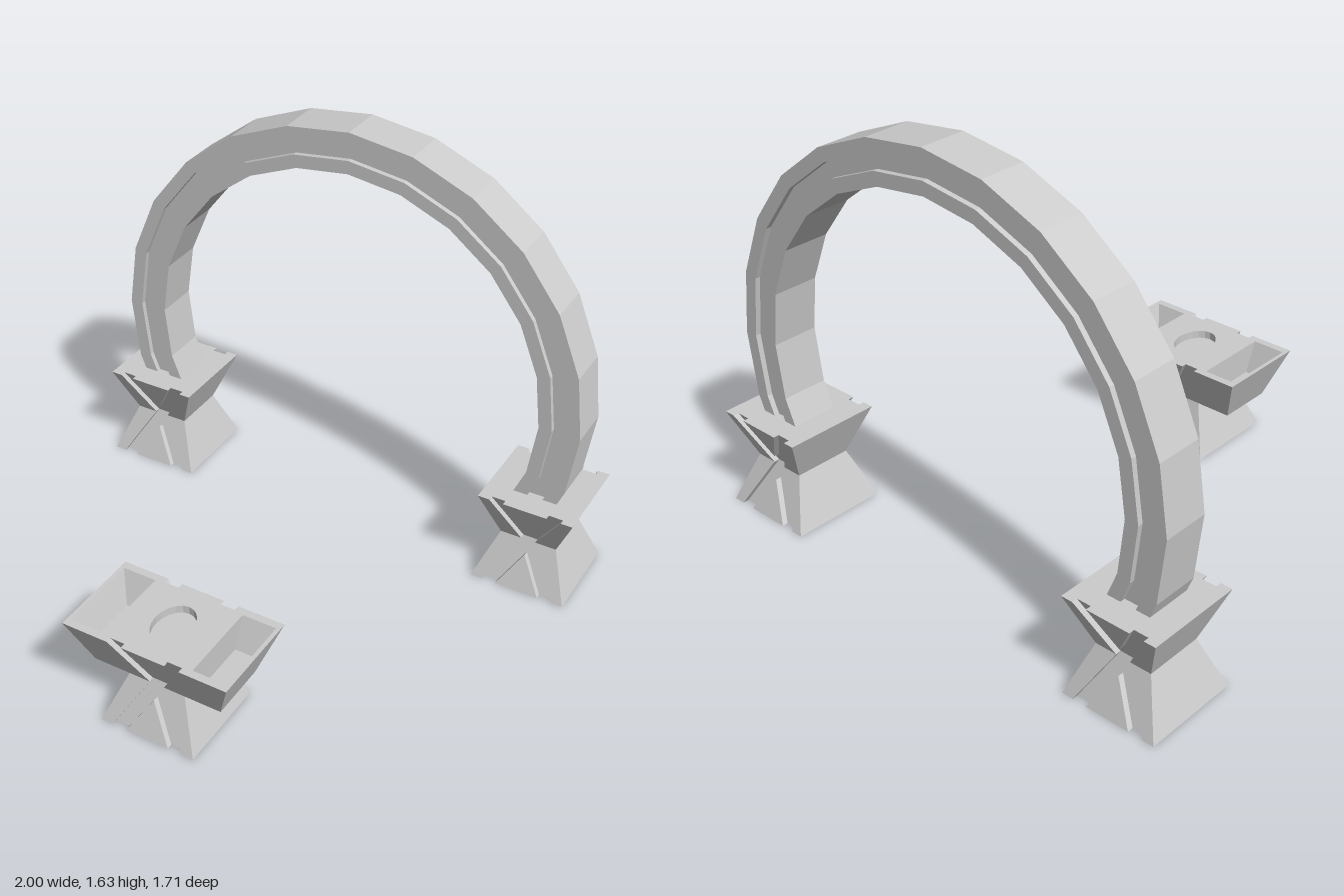
import * as THREE from 'three';

const WAIST = 0.19, TOP = 0.375;   // heights of the hourglass plinth
const GROOVE = 0.022;              // depth of the crossing grooves

const material = new THREE.MeshStandardMaterial({ color: 0xcccccc, flatShading: true });

function addMesh(parent, name, geometry) {
  const mesh = new THREE.Mesh(geometry, material);
  mesh.name = name;
  parent.add(mesh);
  return mesh;
}

// Half depth of the plinth at a height
function halfDepth(y) {
  return y < WAIST
    ? THREE.MathUtils.mapLinear(y, 0, WAIST, 0.185, 0.11)
    : THREE.MathUtils.mapLinear(y, WAIST, TOP, 0.11, 0.185);
}

// Horizontal rings, counter-clockwise from above
const rectRing = (y, hx, hz, cx = 0) =>
  [[-1, 1], [1, 1], [1, -1], [-1, -1]].map(([sx, sz]) => [cx + sx * hx, y, sz * hz]);

const ovalRing = (y, rx, rz, sides = 20) => Array.from({ length: sides }, (_, i) => {
  const t = (i / sides) * Math.PI * 2;
  return [rx * Math.cos(t), y, -rz * Math.sin(t)];
});

// Skin over rings: rising rings face outward, falling rings make a recess
function loft(rings, capStart, capEnd) {
  const pos = [];
  const tri = (a, b, c) => pos.push(...a, ...b, ...c);
  const n = rings[0].length;
  for (let k = 0; k < rings.length - 1; k++) {
    const lo = rings[k], hi = rings[k + 1];
    for (let i = 0; i < n; i++) {
      const j = (i + 1) % n;
      tri(lo[i], lo[j], hi[j]);
      tri(lo[i], hi[j], hi[i]);
    }
  }
  const first = rings[0], last = rings[rings.length - 1];
  for (let i = 1; i < n - 1; i++) {
    if (capStart) tri(first[0], first[i + 1], first[i]);
    if (capEnd) tri(last[0], last[i], last[i + 1]);
  }
  const g = new THREE.BufferGeometry();
  g.setAttribute('position', new THREE.Float32BufferAttribute(pos, 3));
  g.computeVertexNormals();
  return g;
}

// Raised panel lying on the sloped front face
function panelGeometry(points) {
  const shape = new THREE.Shape(points.map(([x, y]) => new THREE.Vector2(x, y)));
  const g = new THREE.ExtrudeGeometry(shape, { depth: GROOVE, bevelEnabled: false });
  const p = g.attributes.position;
  for (let i = 0; i < p.count; i++) {
    p.setZ(i, halfDepth(p.getY(i)) - GROOVE + p.getZ(i));
  }
  g.computeVertexNormals();
  return g;
}

// Hourglass plinth; the upper half may be wider than the lower
function createPlinth(name, waistHalf, topHalf, openTop) {
  const plinth = new THREE.Group();
  plinth.name = name;
  const depth = y => halfDepth(y) - GROOVE;

  addMesh(plinth, 'lowerCore', loft([
    rectRing(0, 0.185, depth(0)),
    rectRing(WAIST, 0.11, depth(WAIST)),
  ], true, false));
  addMesh(plinth, 'upperCore', loft([
    rectRing(WAIST, waistHalf, depth(WAIST)),
    rectRing(TOP, topHalf, depth(TOP)),
  ], true, !openTop));

  // Panels leave an X of grooves on the front and back
  for (const turn of [0, Math.PI]) {
    const face = new THREE.Group();
    face.name = turn ? 'backPanels' : 'frontPanels';
    face.rotation.y = turn;
    plinth.add(face);
    for (const s of [-1, 1]) {
      addMesh(face, 'upperSidePanel', panelGeometry([
        [s * topHalf, TOP], [s * 0.14, TOP], [s * 0.028, WAIST], [s * waistHalf, WAIST]]));
      addMesh(face, 'lowerSidePanel', panelGeometry([
        [s * 0.185, 0], [s * 0.14, 0], [s * 0.028, WAIST], [s * 0.11, WAIST]]));
    }
    addMesh(face, 'upperWedge', panelGeometry([[-0.085, TOP], [0.085, TOP], [0, 0.235]]));
    addMesh(face, 'lowerWedge', panelGeometry([[-0.085, 0], [0.085, 0], [0, 0.135]]));
  }
  return plinth;
}

// Altar: wide plinth with two basins and an oval recess
function createAltar() {
  const altar = createPlinth('altar', 0.25, 0.32, true);
  const hz = halfDepth(TOP) - GROOVE;
  const recesses = [
    ['ovalRecess', [ovalRing(TOP, 0.07, 0.098), ovalRing(TOP - 0.03, 0.07, 0.098)]],
  ];
  for (const s of [-1, 1]) {
    recesses.push(['basin', [
      rectRing(TOP, 0.065, 0.155, s * 0.24),
      rectRing(0.26, 0.045, 0.105, s * 0.22),
    ]]);
  }

  const toPath = ring => ring.map(([x, , z]) => new THREE.Vector2(x, -z));
  const top = new THREE.Shape(toPath(rectRing(0, 0.32, hz)));
  for (const [name, rings] of recesses) {
    top.holes.push(new THREE.Path(toPath(rings[0])));
    addMesh(altar, name, loft(rings, false, true));
  }
  addMesh(altar, 'tableTop',
    new THREE.ShapeGeometry(top).rotateX(-Math.PI / 2).translate(0, TOP, 0));
  return altar;
}

// Faceted arch with a channel along the front and back
function createArch() {
  const w = 0.088, c = w - 0.02;
  const profile = [
    [0.955, -w], [0.955, w], [0.904, w], [0.904, c], [0.848, c], [0.848, w], [0.797, w],
    [0.797, -w], [0.848, -w], [0.848, -c], [0.904, -c], [0.904, -w], [0.955, -w],
  ].map(([r, y]) => new THREE.Vector2(r, y));
  return new THREE.LatheGeometry(profile, 16, Math.PI / 3, Math.PI * 4 / 3)
    .rotateX(Math.PI / 2);
}

export function createModel() {
  const model = new THREE.Group();
  model.name = 'archwayWithAltar';

  addMesh(model, 'arch', createArch()).position.set(0, 0.68, -0.67);

  for (const s of [-1, 1]) {
    const plinth = createPlinth(s > 0 ? 'leftPlinth' : 'rightPlinth', 0.11, 0.185, false);
    plinth.position.set(s * 0.815, 0, -0.67);
    model.add(plinth);
  }

  const altar = createAltar();
  altar.position.set(0.052, 0, 0.67);
  model.add(altar);
  return model;
}
